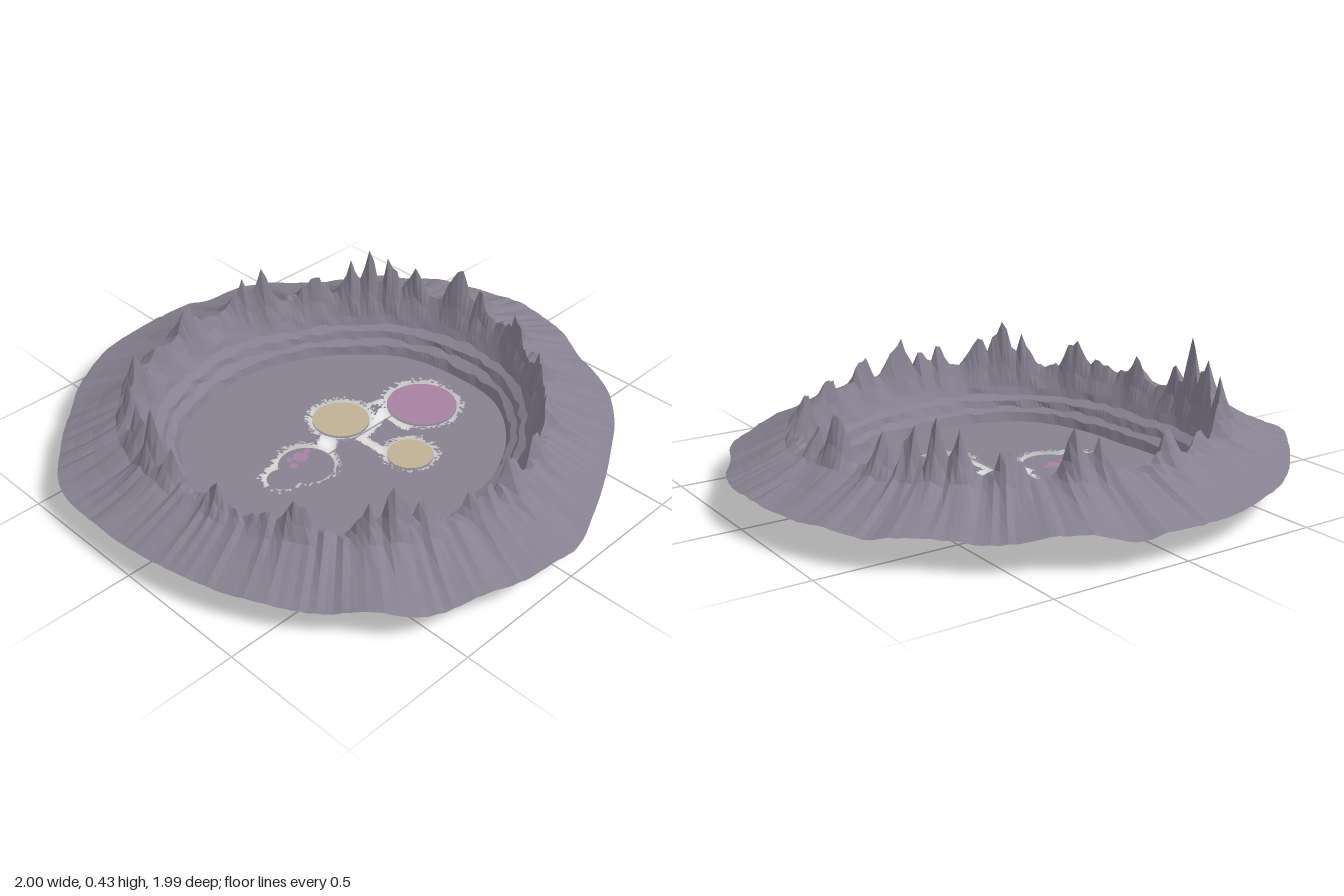
import * as THREE from 'three';

const SEGMENTS = 240;
const TAU = Math.PI * 2;

// Radii at even angles, starting at +x and turning towards +z
const FLOOR_EDGE = [.54, .58, .61, .575, .55, .6, .61, .58, .56, .54, .54, .56, .56, .58, .56, .54];
const CREST = [.72, .74, .74, .74, .73, .76, .76, .73, .72, .67, .67, .7, .73, .7, .68, .69];
const OUTER = [.995, .998, 1, 1.02, .985, .98, .975, .976, .985, 1.01, 1.045, 1.02, 1.005, 1.01, 1.015, 1.01,
  1, .99, .957, .952, .95, .99, 1, 1, 1, .98, .943, .955, .94, .92, .925, .955];

// Tall rim peaks: angle in degrees, height, angular width
const PEAKS = [[0, .34, 4], [9, .28, 3], [14, .28, 3], [27, .32, 3], [34, .37, 4], [41, .31, 3], [58, .32, 4],
  [66, .26, 3], [80, .28, 4], [97, .3, 3], [104, .41, 3], [112, .35, 4], [124, .34, 3], [139, .33, 4], [152, .27, 3],
  [168, .31, 4], [189, .31, 3], [195, .34, 3], [212, .3, 4], [225, .35, 3], [231, .38, 3], [238, .36, 3], [246, .33, 3],
  [260, .35, 4], [268, .29, 3], [285, .29, 4], [305, .29, 4], [325, .3, 4], [345, .3, 4]];

// Pools: x, z, radius, radius of the broken gap around it, liquid (none when dry)
const POOLS = [[.035, -.34, .13, .15, 'pink'], [-.11, -.06, .105, .126, 'tan'],
  [.21, -.09, .083, .1, 'tan'], [-.01, .21, .1, .116], [-.01, .32, .058, .076]];

// Channels: x1, z1, x2, z2, half width
const CHANNELS = [[-.03, -.2, 0, -.13, .02], [0, -.13, .02, -.03, .022], [-.03, -.2, .09, -.19, .018],
  [.02, -.03, .14, -.03, .018], [-.06, .05, -.01, .12, .035], [-.1, -.19, -.07, -.28, .012]];

function seeded(seed) {
  return () => {
    seed = (seed * 1664525 + 1013904223) % 4294967296;
    return seed / 4294967296;
  };
}

// Smooth periodic interpolation in a table of radii
function radius(table, angle) {
  const n = table.length, f = (angle / TAU) * n, i = Math.floor(f), t = f - i;
  const [a, b, c, d] = [-1, 0, 1, 2].map(k => table[(i + k + n) % n]);
  return b + .5 * t * (c - a + t * (2 * a - 5 * b + 4 * c - d + t * (3 * (b - c) + d - a)));
}

// Random ripple around the circle, smoothed by a number of passes
function ripple(seed, passes) {
  const random = seeded(seed);
  let v = Array.from({ length: SEGMENTS }, () => random() * 2 - 1);
  for (let p = 0; p < passes; p++) {
    v = v.map((x, i) => .5 * x + .25 * (v[(i + 1) % SEGMENTS] + v[(i + SEGMENTS - 1) % SEGMENTS]));
  }
  return v;
}

// Joins closed rings of points, leaving out quads for which skip is true
function loft(rings, skip = () => false) {
  const position = rings.flat(2), index = [];
  for (let r = 0; r < rings.length - 1; r++) {
    for (let i = 0; i < SEGMENTS; i++) {
      const j = (i + 1) % SEGMENTS;
      const a = r * SEGMENTS + i, b = r * SEGMENTS + j, c = a + SEGMENTS, d = b + SEGMENTS;
      if (skip(rings[r][i], rings[r + 1][j])) continue;
      index.push(a, b, c, b, d, c);
    }
  }
  const g = new THREE.BufferGeometry();
  g.setAttribute('position', new THREE.Float32BufferAttribute(position, 3));
  g.setIndex(index);
  const flat = g.toNonIndexed();
  flat.computeVertexNormals();
  return flat;
}

function segmentDistance(x, z, [x1, z1, x2, z2]) {
  const dx = x2 - x1, dz = z2 - z1;
  const t = THREE.MathUtils.clamp(((x - x1) * dx + (z - z1) * dz) / (dx * dx + dz * dz), 0, 1);
  return Math.hypot(x - x1 - t * dx, z - z1 - t * dz);
}

export function createModel() {
  const group = new THREE.Group();
  const material = (name, color) => {
    const m = new THREE.MeshStandardMaterial({ color, side: THREE.DoubleSide, flatShading: true });
    m.name = name;
    return m;
  };
  const materials = {
    rock: material('greyRock', 0x868090),
    pink: material('pinkPool', 0xa681a1),
    tan: material('tanPool', 0xbfb194),
  };
  const add = (name, geometry, mat) => {
    const mesh = new THREE.Mesh(geometry, mat);
    mesh.name = name;
    group.add(mesh);
    return mesh;
  };
  const angles = Array.from({ length: SEGMENTS }, (_, i) => (i / SEGMENTS) * TAU);

  // Jagged crest heights: low base, peaks, and fine spikes
  const spikes = ripple(7, 0);
  const crestHeight = angles.map((a, i) => {
    let h = .21;
    for (const [deg, top, width] of PEAKS) {
      const d = ((a * 180 / Math.PI - deg + 540) % 360) - 180;
      h = Math.max(h, .21 + (top - .21) * Math.exp(-((d / width) ** 2)));
    }
    return h + spikes[i] * (.01 + (h - .21) * .16);
  });

  // Crater wall: terraces up to the crest. t runs 0..1 from floor edge to crest and 1..2 to the outer lip;
  // lift blends the height towards the crest height
  const profile = [[0, .01, 0], [.08, .045, 0], [.28, .058, 0], [.36, .085, 0], [.58, .1, 0], [.68, .13, 0],
    [.84, .15, .3], [1, .2, 1], [1.1, .2, .5], [1.22, .185, .15], [1.55, .15, .03], [1.8, .126, 0], [2, .108, 0]];
  const fine = profile.map((_, k) => ripple(31 + k * 17, 2));
  const gullies = ripple(5, 0);
  const swell = ripple(3, 12);
  const wall = profile.map(([t, y, lift], k) => angles.map((a, i) => {
    const f = radius(FLOOR_EDGE, a), c = radius(CREST, a), o = radius(OUTER, a);
    let r = t <= 1 ? f + (c - f) * t : c + (o - c) * (t - 1);
    let h = y + (crestHeight[i] - y) * lift;
    if (t > 1) {
      // Straight gullies run down the outside to a slightly wavy lip
      h += gullies[i] * .009 * (2.3 - t) + swell[i] * .04 * (t - 1);
    } else if (k > 0) {
      r += fine[k][i] * .012;
      h += fine[k][i] * .008;
    }
    return [r * Math.cos(a), h, r * Math.sin(a)];
  }));
  add('craterWall', loft(wall), materials.rock);

  // Crater floor with ragged openings for pools and channels
  const steps = 60;
  const floor = Array.from({ length: steps + 1 }, (_, k) => angles.map(a => {
    const r = radius(FLOOR_EDGE, a) * (1 - k / steps);
    return [r * Math.cos(a), .01, r * Math.sin(a)];
  }));
  const ragged = seeded(99);
  const open = (p, q) => {
    const x = (p[0] + q[0]) / 2, z = (p[2] + q[2]) / 2, jitter = (ragged() - .5) * .026;
    return POOLS.some(([px, pz, , gap]) => Math.hypot(x - px, z - pz) < gap + jitter)
      || CHANNELS.some(c => segmentDistance(x, z, c) < c[4] + jitter * .3);
  };
  add('craterFloor', loft(floor, open), materials.rock);

  // Rock beds in the openings, with liquid on top
  const disc = (name, x, y, z, r, sides, mat) =>
    add(name, new THREE.CircleGeometry(r, sides).rotateX(-Math.PI / 2), mat).position.set(x, y, z);
  for (const [x, z, r, , liquid] of POOLS) {
    disc('poolBed', x, 0, z, r, 28, materials.rock);
    if (liquid) disc(liquid + 'Pool', x, .008, z, r, 28, materials[liquid]);
  }

  // Small pink puddles left on the dry bed
  for (const [x, z, r] of [[-.05, .2, .03], [-.03, .25, .015], [-.06, .16, .014], [-.065, .24, .012]]) {
    disc('pinkPuddle', x, .009, z, r, 7, materials.pink);
  }
  return group;
}
